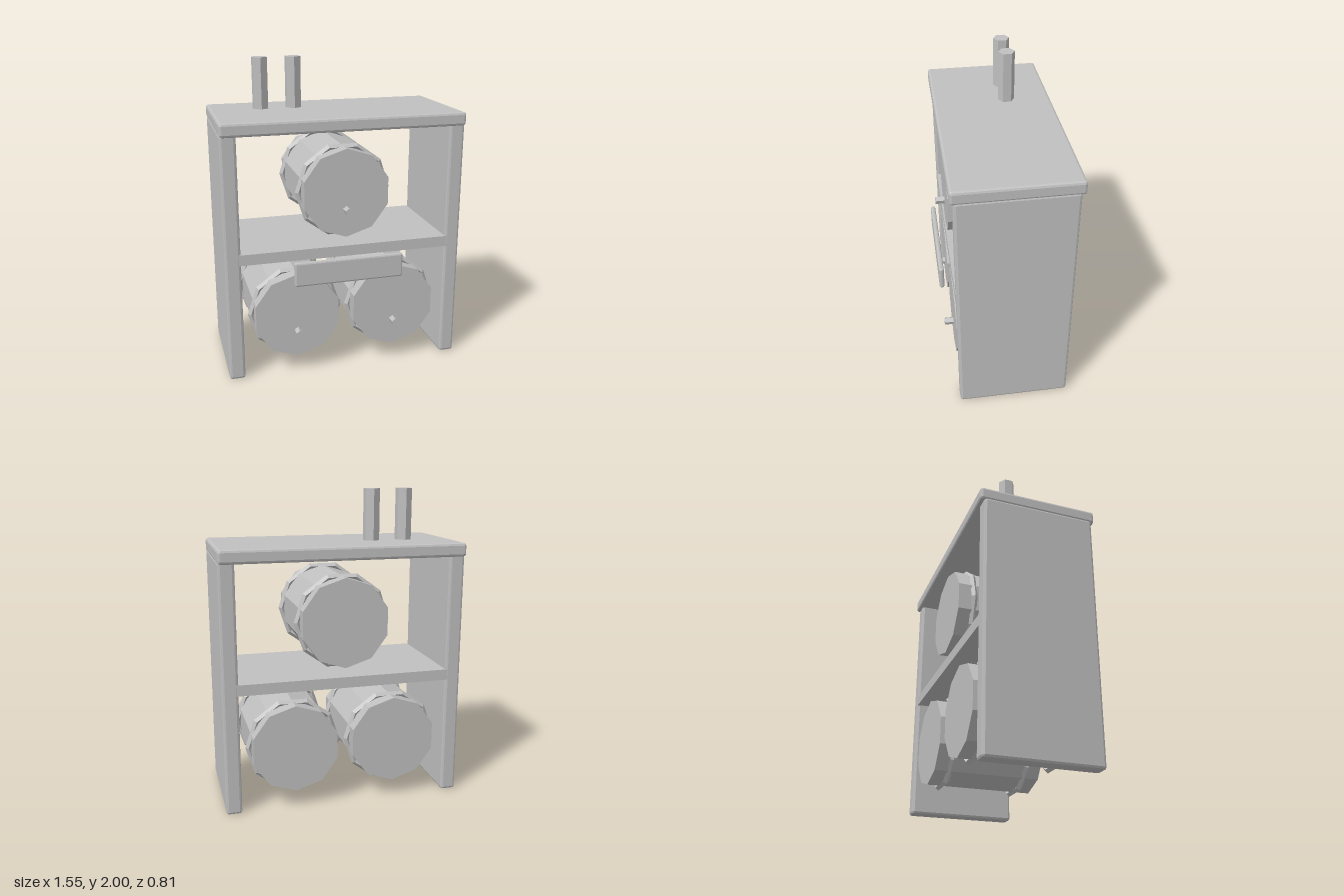
import * as THREE from 'three';
import { RoundedBoxGeometry } from 'three/addons/geometries/RoundedBoxGeometry.js';

const grey = new THREE.MeshStandardMaterial({ color: 0xc0c0c0 });
grey.name = 'plain grey';

// Faceted mesh: every face gets its own flat normal
function facet(name, geometry, x, y, z) {
  const geo = geometry.index ? geometry.toNonIndexed() : geometry;
  geo.computeVertexNormals();
  const mesh = new THREE.Mesh(geo, grey);
  mesh.name = name;
  mesh.position.set(x, y, z);
  return mesh;
}

// Bevelled board given by its limits on each axis
function board(name, [x0, x1], [y0, y1], [z0, z1], bevel = 0.016) {
  const size = [x1 - x0, y1 - y0, z1 - z0];
  const geo = bevel ? new RoundedBoxGeometry(...size, 1, bevel) : new THREE.BoxGeometry(...size);
  return facet(name, geo, (x0 + x1) / 2, (y0 + y1) / 2, (z0 + z1) / 2);
}

// Barrel lying along z, with two hoops and a tap
function barrel(name, x, y) {
  const group = new THREE.Group();
  group.name = name;
  group.position.set(x, y, -0.025);
  group.add(facet('barrelBody', new THREE.CylinderGeometry(0.285, 0.285, 0.7, 10).rotateX(Math.PI / 2), 0, 0, 0));
  for (const z of [-0.25, 0.25]) {
    group.add(facet('hoop', new THREE.TorusGeometry(0.29, 0.02, 4, 10), 0, 0, z));
  }
  const tap = new THREE.CylinderGeometry(0.025, 0.025, 0.1, 5).rotateX(-Math.PI / 2).rotateZ(Math.PI);
  // turn the five-sided tap so that a corner points up
  tap.computeBoundingBox();
  if (-tap.boundingBox.min.y > tap.boundingBox.max.y) tap.rotateZ(Math.PI);
  group.add(facet('tap', tap, 0, -0.105, 0.36));
  return group;
}

export function createModel() {
  const model = new THREE.Group();
  model.name = 'barrelRack';

  // Rack
  const depth = [-0.38, 0.33];
  model.add(board('rightSidePanel', [-0.775, -0.675], [0, 1.6], depth));
  model.add(board('leftSidePanel', [0.675, 0.775], [0, 1.6], depth));
  model.add(board('topBoard', [-0.775, 0.775], [1.585, 1.67], [-0.405, 0.35]));
  model.add(board('middleShelf', [-0.69, 0.69], [0.78, 0.85], [-0.379, 0.329], 0));
  model.add(board('frontPlaque', [-0.355, 0.355], [0.63, 0.79], [0.373, 0.405], 0.012));

  // Barrels
  model.add(barrel('upperBarrel', 0, 1.193));
  model.add(barrel('lowerRightBarrel', -0.323, 0.4));
  model.add(barrel('lowerLeftBarrel', 0.323, 0.4));

  // Posts standing on the top board
  for (const x of [-0.452, -0.237]) {
    model.add(facet('post', new THREE.CylinderGeometry(0.053, 0.053, 0.325, 6), x, 1.8375, -0.118));
  }
  return model;
}
